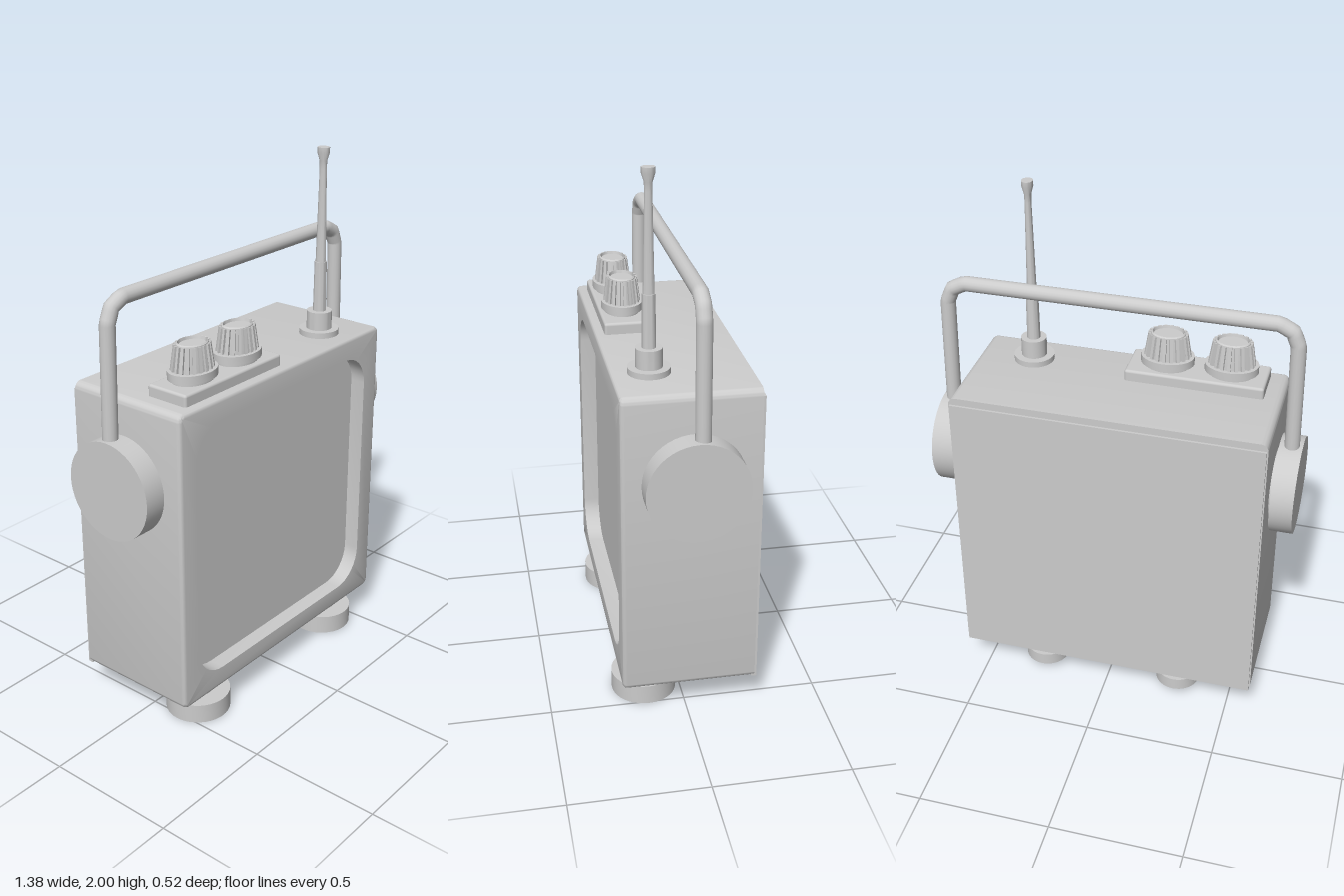
import * as THREE from 'three';
import { toCreasedNormals } from 'three/addons/utils/BufferGeometryUtils.js';
import { RoundedBoxGeometry } from 'three/addons/geometries/RoundedBoxGeometry.js';

const material = new THREE.MeshStandardMaterial({ color: 0xcccccc });

function add(parent, name, geometry, x = 0, y = 0, z = 0) {
  const mesh = new THREE.Mesh(geometry, material);
  mesh.name = name;
  mesh.position.set(x, y, z);
  parent.add(mesh);
  return mesh;
}

// Turned part from [radius, y] pairs, with crisp steps
function turned(profile, segments = 40) {
  const points = profile.map(([r, y]) => new THREE.Vector2(r, y));
  return toCreasedNormals(new THREE.LatheGeometry(points, segments), 0.6);
}

// Rounded rectangle cross-section, counter-clockwise seen from the front
function section(cx, cy, w, h, r, z, n = 8) {
  const points = [];
  for (let q = 0; q < 4; q++) {
    const sx = q === 0 || q === 3 ? 1 : -1;
    const sy = q < 2 ? 1 : -1;
    for (let i = 0; i <= n; i++) {
      const a = (q + i / n) * Math.PI / 2;
      points.push([
        cx + sx * (w / 2 - r) + r * Math.cos(a),
        cy + sy * (h / 2 - r) + r * Math.sin(a),
        z,
      ]);
    }
  }
  return points;
}

// Skin joining successive cross-sections
function loft(sections) {
  const count = sections[0].length;
  const index = [];
  for (let s = 0; s < sections.length - 1; s++) {
    for (let i = 0; i < count; i++) {
      const j = (i + 1) % count;
      const a = s * count + i, b = s * count + j;
      index.push(a, b, b + count, a, b + count, a + count);
    }
  }
  const geometry = new THREE.BufferGeometry();
  geometry.setAttribute('position', new THREE.Float32BufferAttribute(sections.flat(2), 3));
  geometry.setIndex(index);
  return toCreasedNormals(geometry, 0.6);
}

// Casing with softened front edge and a recessed front window
function casing() {
  const cx = -0.0075, cy = 0.7025, w = 1.175, h = 1.165, e = 0.016;
  const sections = [
    section(cx, cy, 0, 0, 0, -0.25),
    section(cx, cy, w, h, 0.028, -0.25),
  ];
  for (let i = 0; i <= 4; i++) {
    const a = i / 4 * Math.PI / 2;
    const inset = e * (1 - Math.cos(a));
    sections.push(section(cx, cy, w - 2 * inset, h - 2 * inset, 0.028 - inset, 0.24 - e + e * Math.sin(a)));
  }
  sections.push(section(-0.01, 0.7, 1.0, 1.0, 0.13, 0.24));
  sections.push(section(-0.01, 0.7, 1.0, 1.0, 0.13, 0.18));
  sections.push(section(-0.01, 0.7, 0, 0, 0, 0.18));
  return loft(sections);
}

// Fluted control knob on a flange
function knob(x, z) {
  const group = new THREE.Group();
  group.name = 'controlKnob';
  add(group, 'knobFlange', turned([[0, 0], [0.085, 0], [0.085, 0.015], [0.1, 0.015], [0.1, 0.045], [0, 0.045]]));
  add(group, 'knobCap', turned([[0.078, 0.04], [0.078, 0.05], [0.064, 0.137], [0.058, 0.141], [0.055, 0.13], [0, 0.13]]));
  const ribs = 20;
  for (let i = 0; i < ribs; i++) {
    const a = i / ribs * Math.PI * 2;
    const rib = add(group, 'knobRib', new THREE.BoxGeometry(0.014, 0.09, 0.012),
      0.074 * Math.cos(a), 0.09, 0.074 * Math.sin(a));
    rib.rotation.set(0, -a, 0.16);
  }
  group.position.set(x, 1.325, z);
  group.scale.z = 0.78;
  return group;
}

export function createModel() {
  const model = new THREE.Group();
  model.name = 'portableSet';

  add(model, 'casing', casing());
  add(model, 'backPanel', new THREE.BoxGeometry(1.165, 1.135, 0.02), -0.0075, 0.69, -0.249);

  // Feet: large pair in front, small pair behind
  for (const side of [-1, 1]) {
    const x = side < 0 ? -0.402 : 0.387;
    add(model, 'frontFoot', turned([[0, 0], [0.122, 0], [0.122, 0.075], [0.057, 0.075], [0.057, 0.13]]), x, 0, 0.135);
    add(model, 'rearFoot', turned([[0, 0], [0.087, 0], [0.087, 0.05], [0.045, 0.05], [0.045, 0.1]]),
      side < 0 ? -0.283 : 0.27, 0.03, -0.147);
  }

  // Side discs carrying the handle
  for (const side of [-1, 1]) {
    const disc = add(model, 'handlePivot',
      turned([[0.13, 0], [0.13, 0.045], [0.183, 0.045], [0.183, 0.13], [0, 0.13]], 48), side * 0.56, 0.968, -0.01);
    disc.rotation.z = -side * Math.PI / 2;
  }

  // Bent carrying handle
  const half = [[0.652, 1.05], [0.642, 1.56], [0.62, 1.612], [0.572, 1.637]];
  const points = [...half.map(([x, y]) => [-x, y]), ...half.slice().reverse()]
    .map(([x, y]) => new THREE.Vector3(x, y, -0.028));
  const path = new THREE.CurvePath();
  for (let i = 0; i < points.length - 1; i++) path.add(new THREE.LineCurve3(points[i], points[i + 1]));
  add(model, 'carryHandle', new THREE.TubeGeometry(path, 160, 0.028, 16));

  // Control plate with two knobs
  add(model, 'controlPlate', new RoundedBoxGeometry(0.52, 0.06, 0.172, 3, 0.01), -0.265, 1.298, 0.12);
  for (const x of [-0.39, -0.15]) model.add(knob(x, 0.12));

  // Antenna: stepped socket and a slender rod, a little deeper than wide
  add(model, 'antennaSocket', turned([
    [0.076, 0], [0.076, 0.027], [0.048, 0.027], [0.048, 0.097], [0.025, 0.097], [0.023, 0.29], [0, 0.29],
  ]), 0.365, 1.28, 0.105);
  const rod = add(model, 'antennaRod', turned([
    [0.018, 0], [0.012, 0.36], [0.013, 0.39], [0.021, 0.42], [0.021, 0.44], [0, 0.44],
  ], 20), 0.365, 1.56, 0.105);
  rod.scale.z = 1.15;

  return model;
}
